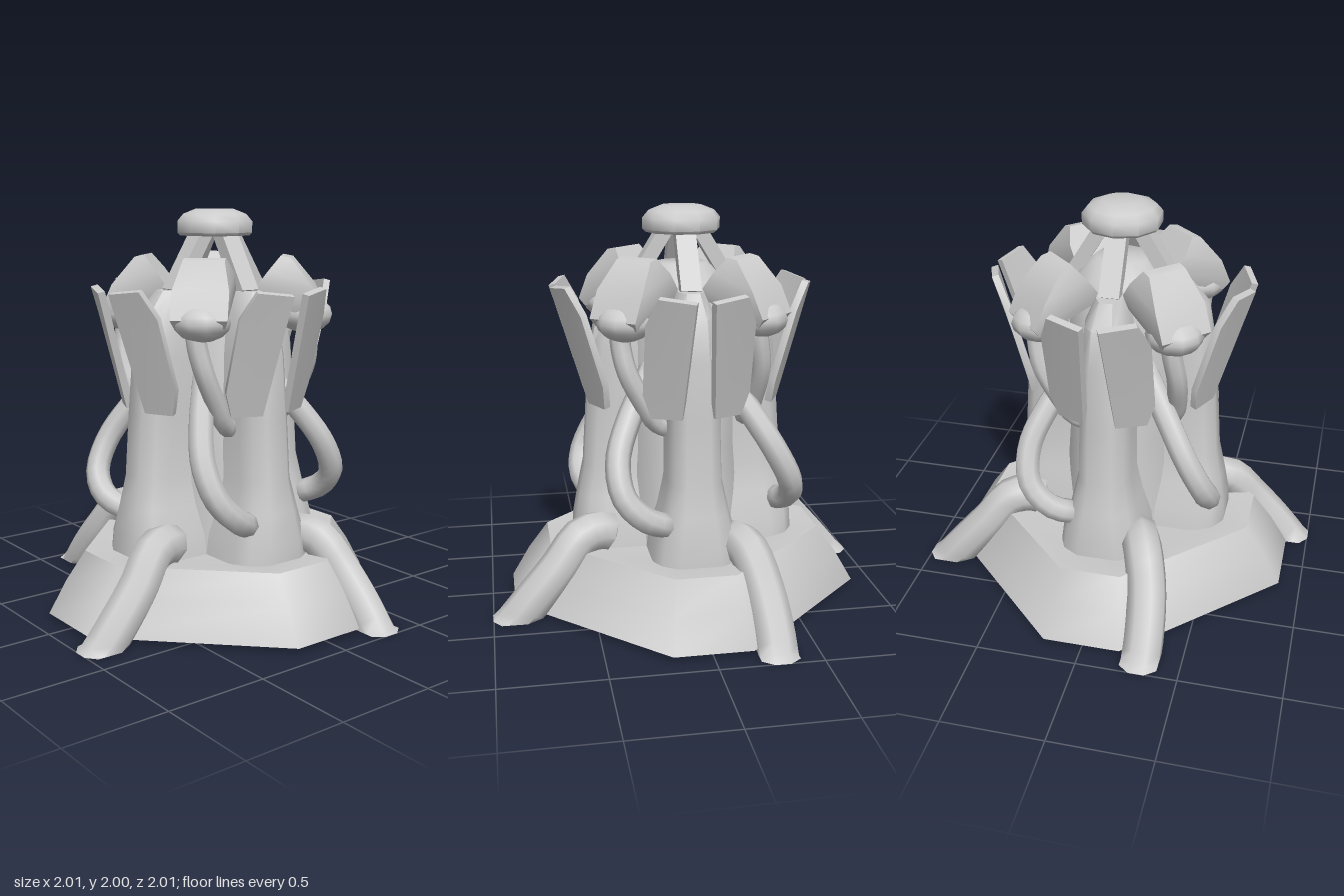
import * as THREE from 'three';
import { toCreasedNormals } from 'three/addons/utils/BufferGeometryUtils.js';

const material = new THREE.MeshStandardMaterial({ color: 0xcccccc, side: THREE.DoubleSide });

function add(parent, name, geometry, crease = 0.8) {
  const mesh = new THREE.Mesh(toCreasedNormals(geometry, crease), material);
  mesh.name = name;
  parent.add(mesh);
  return mesh;
}

// Closed skin over equal-length rings of [x, y, z], counterclockwise seen from the last ring
function loft(rings) {
  const n = rings[0].length, pos = rings.flat(2), index = [];
  for (let r = 0; r < rings.length - 1; r++) {
    for (let i = 0; i < n; i++) {
      const a = r * n + i, b = r * n + (i + 1) % n;
      index.push(a, b, b + n, a, b + n, a + n);
    }
  }
  [0, rings.length - 1].forEach((r, end) => {
    const centre = pos.length / 3;
    for (let k = 0; k < 3; k++) pos.push(rings[r].reduce((s, p) => s + p[k], 0) / n);
    for (let i = 0; i < n; i++) {
      const a = r * n + i, b = r * n + (i + 1) % n;
      if (end) index.push(centre, a, b); else index.push(centre, b, a);
    }
  });
  const g = new THREE.BufferGeometry();
  g.setAttribute('position', new THREE.Float32BufferAttribute(pos, 3));
  g.setIndex(index);
  return g;
}

// Tube with its end rings drawn to a point, kept above the floor
function hose(points, radius, steps = 16, sides = 8) {
  const curve = new THREE.CatmullRomCurve3(points.map(p => new THREE.Vector3(...p)));
  const g = new THREE.TubeGeometry(curve, steps, radius, sides);
  const p = g.attributes.position;
  for (let i = 0; i < p.count; i++) {
    const ring = Math.floor(i / (sides + 1));
    if (ring === 0 || ring === steps) {
      const c = curve.getPointAt(ring / steps);
      p.setXYZ(i, c.x, c.y, c.z);
    }
    if (p.getY(i) < 0) p.setY(i, 0);
  }
  return g;
}

// Eight-sided base with short sides on the axes
function baseRing(s, y) {
  const c = s * 0.215;
  return [[-c, s], [c, s], [s, c], [s, -c], [c, -s], [-c, -s], [-s, -c], [-s, c]].map(([x, z]) => [x, y, z]);
}

// Pillar section: half width w, reaching out to radius r
function pillarRing(y, w, r) {
  return [[-w, r - 0.13], [-w * 0.85, r - 0.05], [-w * 0.45, r], [w * 0.45, r], [w * 0.85, r - 0.05],
    [w, r - 0.13], [w, 0.1], [-w, 0.1]].map(([x, z]) => [x, y, z]);
}

// Hood section: half width, inner radius and height, outer radius and height
function hoodRing(w, rin, yin, rout, yout) {
  return [[-w, yout, rout], [w, yout, rout], [w, yin, rin], [-w, yin, rin]];
}

// Thin upright blade, outward leaning; side is 1 or -1
function blade(side) {
  const face = [[0.08, 1.03, 0.485], [0.22, 1.03, 0.42], [0.26, 1.15, 0.43],
    [0.26, 1.5, 0.53], [0.21, 1.63, 0.6], [0.045, 1.61, 0.66]];
  const shape = d => {
    const ring = face.map(([x, y, z]) => [side * (x - 0.42 * d), y + 0.25 * d, z - 0.85 * d]);
    return side > 0 ? ring : ring.reverse();
  };
  return loft([shape(0.035), shape(0)]);
}

export function createModel() {
  const model = new THREE.Group();

  add(model, 'base', loft([baseRing(0.89, 0.02), baseRing(0.8, 0.18), baseRing(0.7, 0.32),
    baseRing(0.6, 0.315), baseRing(0.5, 0.3)]), 0.7);

  const core = [[0, 0.28], [0.32, 0.28], [0.28, 0.8], [0.27, 1.5], [0.22, 1.64], [0.13, 1.72], [0, 1.72]];
  add(model, 'core', new THREE.LatheGeometry(core.map(p => new THREE.Vector2(...p)), 12));

  const cap = [[0, 1.87], [0.18, 1.87], [0.195, 1.885], [0.195, 1.94], [0.165, 1.975], [0.1, 2], [0, 2]];
  add(model, 'cap', new THREE.LatheGeometry(cap.map(p => new THREE.Vector2(...p)), 10), 0.9);

  // The same quarter, turned four times
  for (let k = 0; k < 4; k++) {
    const quarter = new THREE.Group();
    quarter.name = 'quarter';
    quarter.rotation.y = k * Math.PI / 2;
    model.add(quarter);

    add(quarter, 'pillar', loft([
      [0.28, 0.22, 0.57], [0.4, 0.205, 0.565], [0.55, 0.165, 0.54], [0.7, 0.135, 0.51],
      [1.0, 0.13, 0.49], [1.3, 0.125, 0.465], [1.5, 0.11, 0.43], [1.61, 0.07, 0.34],
    ].map(p => pillarRing(...p))));

    const strut = add(quarter, 'strut', new THREE.BoxGeometry(0.1, 0.36, 0.07));
    strut.position.set(0, 1.75, 0.165);
    strut.rotation.x = -0.55;

    for (const side of [1, -1]) add(quarter, 'blade', blade(side), 0.5);

    // Hood and bulb on the diagonal
    const diagonal = new THREE.Group();
    diagonal.name = 'hoodGroup';
    diagonal.rotation.y = Math.PI / 4;
    quarter.add(diagonal);
    add(diagonal, 'hood', loft([
      hoodRing(0.12, 0.23, 1.56, 0.53, 1.46), hoodRing(0.135, 0.22, 1.62, 0.56, 1.5),
      hoodRing(0.135, 0.28, 1.7, 0.5, 1.63), hoodRing(0.1, 0.34, 1.775, 0.39, 1.765),
    ]));
    const bulb = add(diagonal, 'bulb', new THREE.SphereGeometry(0.14, 10, 8), 1);
    bulb.scale.y = 0.65;
    bulb.position.set(0, 1.48, 0.46);

    // Hoses hang from the bulb and out of the core into the front pillar
    add(quarter, 'upperHose', hose([[-0.35, 1.48, 0.31], [-0.35, 1.38, 0.32], [-0.32, 1.24, 0.34],
      [-0.24, 1.08, 0.33], [-0.18, 0.98, 0.31], [-0.1, 0.93, 0.28]], 0.05), 1.2);
    add(quarter, 'lowerHose', hose([[-0.15, 1.25, 0.12], [-0.22, 1.14, 0.2], [-0.31, 1.0, 0.3], [-0.38, 0.82, 0.41],
      [-0.36, 0.66, 0.49], [-0.27, 0.56, 0.51], [-0.18, 0.51, 0.48], [-0.12, 0.49, 0.43]], 0.062, 20), 1.2);

    // Root-like leg spilling over the base
    add(quarter, 'leg', hose([[0.17, 0.36, 0.36], [0.2, 0.395, 0.46], [0.235, 0.38, 0.55], [0.28, 0.24, 0.67],
      [0.3, 0.08, 0.81], [0.3, -0.06, 0.925], [0.3, -0.11, 0.965]], 0.1), 1.2);
  }
  return model;
}
